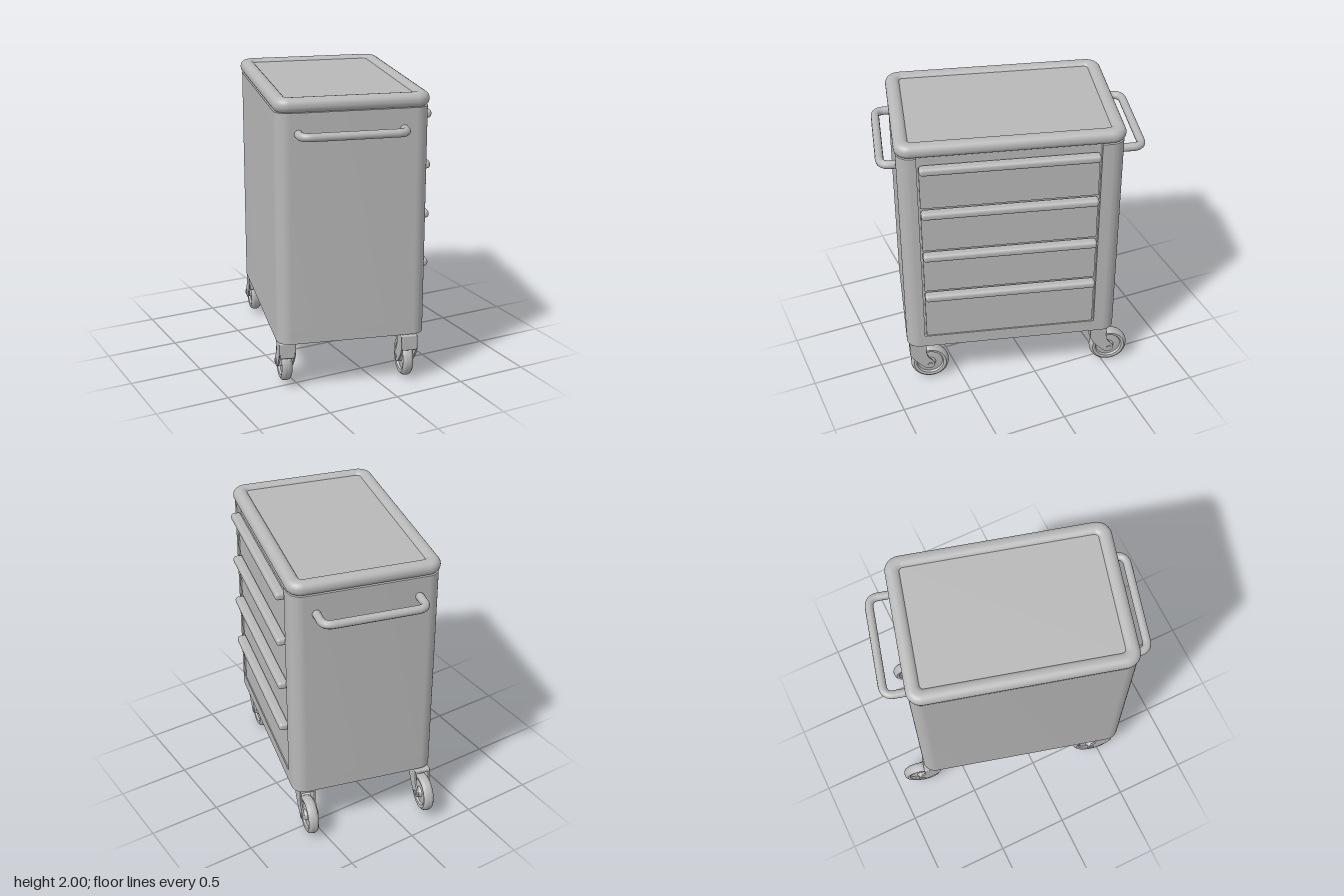
import * as THREE from 'three';
import { toCreasedNormals } from 'three/addons/utils/BufferGeometryUtils.js';
import { RoundedBoxGeometry } from 'three/addons/geometries/RoundedBoxGeometry.js';

const grey = new THREE.MeshStandardMaterial({ color: 0xb8b8b8 });
grey.name = 'grey';

function add(parent, name, geometry, x = 0, y = 0, z = 0) {
  const mesh = new THREE.Mesh(geometry, grey);
  mesh.name = name;
  mesh.position.set(x, y, z);
  parent.add(mesh);
  return mesh;
}

// Rounded rectangle outline; an optional notch cuts into the +x side.
function roundedRect(target, hw, hl, r, notch) {
  target.moveTo(-hw + r, -hl);
  target.lineTo(hw - r, -hl);
  target.absarc(hw - r, -hl + r, r, -Math.PI / 2, 0);
  if (notch) {
    target.lineTo(hw, notch.from);
    target.lineTo(hw - notch.depth, notch.from);
    target.lineTo(hw - notch.depth, notch.to);
    target.lineTo(hw, notch.to);
  }
  target.absarc(hw - r, hl - r, r, 0, Math.PI / 2);
  target.absarc(-hw + r, hl - r, r, Math.PI / 2, Math.PI);
  target.absarc(-hw + r, -hl + r, r, Math.PI, Math.PI * 1.5);
  return target;
}

// Extrude a floor-plan shape upwards.
function upright(shape, depth, options = {}) {
  const g = new THREE.ExtrudeGeometry(shape, { depth, bevelEnabled: false, curveSegments: 8, ...options });
  return toCreasedNormals(g.rotateX(-Math.PI / 2), 0.6);
}

function buildCabinet() {
  const cabinet = new THREE.Group();
  cabinet.name = 'cabinet';
  const hw = 0.5, hl = 0.735, r = 0.09;
  add(cabinet, 'base', upright(roundedRect(new THREE.Shape(), hw, hl, r), 0.09), 0, 0.36);
  const notch = { from: -0.61, to: 0.58, depth: 0.03 };
  add(cabinet, 'body', upright(roundedRect(new THREE.Shape(), hw, hl, r, notch), 1.46), 0, 0.45);

  // Lid: bullnose rim around a slightly sunken panel
  const b = 0.046;
  const rim = roundedRect(new THREE.Shape(), 0.51 - b, 0.745 - b, 0.1 - b);
  rim.holes.push(roundedRect(new THREE.Path(), 0.41 + b, 0.645 + b, 0.02 + b));
  add(cabinet, 'lidRim', upright(rim, 0.004, {
    bevelEnabled: true, bevelSize: b, bevelThickness: b, bevelSegments: 6,
  }), 0, 1.952);
  add(cabinet, 'lidPanel', new THREE.BoxGeometry(0.9, 0.07, 1.37), 0, 1.945);

  // Drawers with a full-width pull along each top edge
  const pitch = 0.34, zMid = 0.015;
  for (let i = 0; i < 4; i++) {
    const top = 1.83 - i * pitch;
    const bottom = i === 3 ? 0.452 : top - pitch + 0.035;
    add(cabinet, 'drawerFront', new THREE.BoxGeometry(0.04, top - bottom, 1.165),
      0.473, (top + bottom) / 2, zMid);
    add(cabinet, 'drawerPull', new RoundedBoxGeometry(0.07, 0.055, 1.165, 3, 0.022),
      0.515, top, zMid);
  }
  return cabinet;
}

// Bent tube rail on one end; side is +1 for front, -1 for back.
function buildRail(side, wallZ, barZ) {
  const w = 0.342, c = 0.07;
  const at = (x, z) => new THREE.Vector3(x, 1.775, z);
  const near = barZ - side * c;
  const path = new THREE.CurvePath();
  path.add(new THREE.LineCurve3(at(-w, wallZ), at(-w, near)));
  path.add(new THREE.QuadraticBezierCurve3(at(-w, near), at(-w, barZ), at(-w + c, barZ)));
  path.add(new THREE.LineCurve3(at(-w + c, barZ), at(w - c, barZ)));
  path.add(new THREE.QuadraticBezierCurve3(at(w - c, barZ), at(w, barZ), at(w, near)));
  path.add(new THREE.LineCurve3(at(w, near), at(w, wallZ)));
  return new THREE.TubeGeometry(path, 90, 0.028, 12);
}

// Caster: origin at the wheel centre, swivel stem ahead on +z
function buildCaster(height) {
  const caster = new THREE.Group();
  caster.name = 'caster';

  // Tyre with recessed disc and raised hub
  const half = [[0, 0.042], [0.032, 0.042], [0.04, 0.022], [0.088, 0.018], [0.096, 0.032],
    [0.115, 0.036], [0.129, 0.026], [0.135, 0.01]];
  const profile = [
    ...half.map(([r, y]) => new THREE.Vector2(r, -y)),
    ...half.slice().reverse().map(([r, y]) => new THREE.Vector2(r, y)),
  ];
  const wheel = new THREE.LatheGeometry(profile, 32).rotateZ(Math.PI / 2);
  add(caster, 'wheel', toCreasedNormals(wheel, 0.7));

  // Fork plates, swept back from the crown to the axle
  const top = 0.335 - height;
  const plate = new THREE.Shape();
  plate.moveTo(0.14, top);
  plate.lineTo(0.14, 0.11);
  plate.quadraticCurveTo(0.12, 0.05, 0.035, -0.025);
  plate.quadraticCurveTo(0, -0.045, -0.03, -0.015);
  plate.quadraticCurveTo(-0.04, 0.015, 0.005, 0.06);
  plate.quadraticCurveTo(0.035, 0.1, 0.02, top);
  const plateGeo = toCreasedNormals(
    new THREE.ExtrudeGeometry(plate, { depth: 0.012, bevelEnabled: false })
      .rotateY(-Math.PI / 2).translate(0.006, 0, 0), 0.6);
  for (const s of [-1, 1]) add(caster, 'forkPlate', plateGeo, s * 0.05);

  add(caster, 'forkCrown', new RoundedBoxGeometry(0.112, 0.035, 0.122, 3, 0.012), 0, top - 0.008, 0.08);
  const front = new RoundedBoxGeometry(0.1, 0.1, 0.014, 2, 0.006);
  add(caster, 'forkFront', front, 0, top - 0.05, 0.134);
  add(caster, 'stem', new THREE.CylinderGeometry(0.035, 0.035, 0.05, 20), 0, 0.35 - height, 0.08);
  add(caster, 'axle', new THREE.CylinderGeometry(0.018, 0.018, 0.125, 16).rotateZ(Math.PI / 2));
  return caster;
}

export function createModel() {
  const model = new THREE.Group();
  model.name = 'toolCart';
  const cart = new THREE.Group();
  cart.name = 'cart';
  cart.rotation.y = -THREE.MathUtils.degToRad(15);
  model.add(cart);

  const cabinet = buildCabinet();
  cabinet.position.z = 0.04;
  cart.add(cabinet);

  add(cart, 'frontRail', buildRail(1, 0.76, 0.872), -0.015);
  add(cart, 'backRail', buildRail(-1, -0.68, -0.845), -0.005);

  // Wheel centres: x, height, z
  const spots = [[0.397, 0.14, 0.62], [0.397, 0.14, -0.675], [-0.43, 0.165, 0.58], [-0.43, 0.165, -0.72]];
  for (const [x, y, z] of spots) {
    const caster = buildCaster(y);
    caster.position.set(x, y, z);
    cart.add(caster);
  }
  return model;
}
